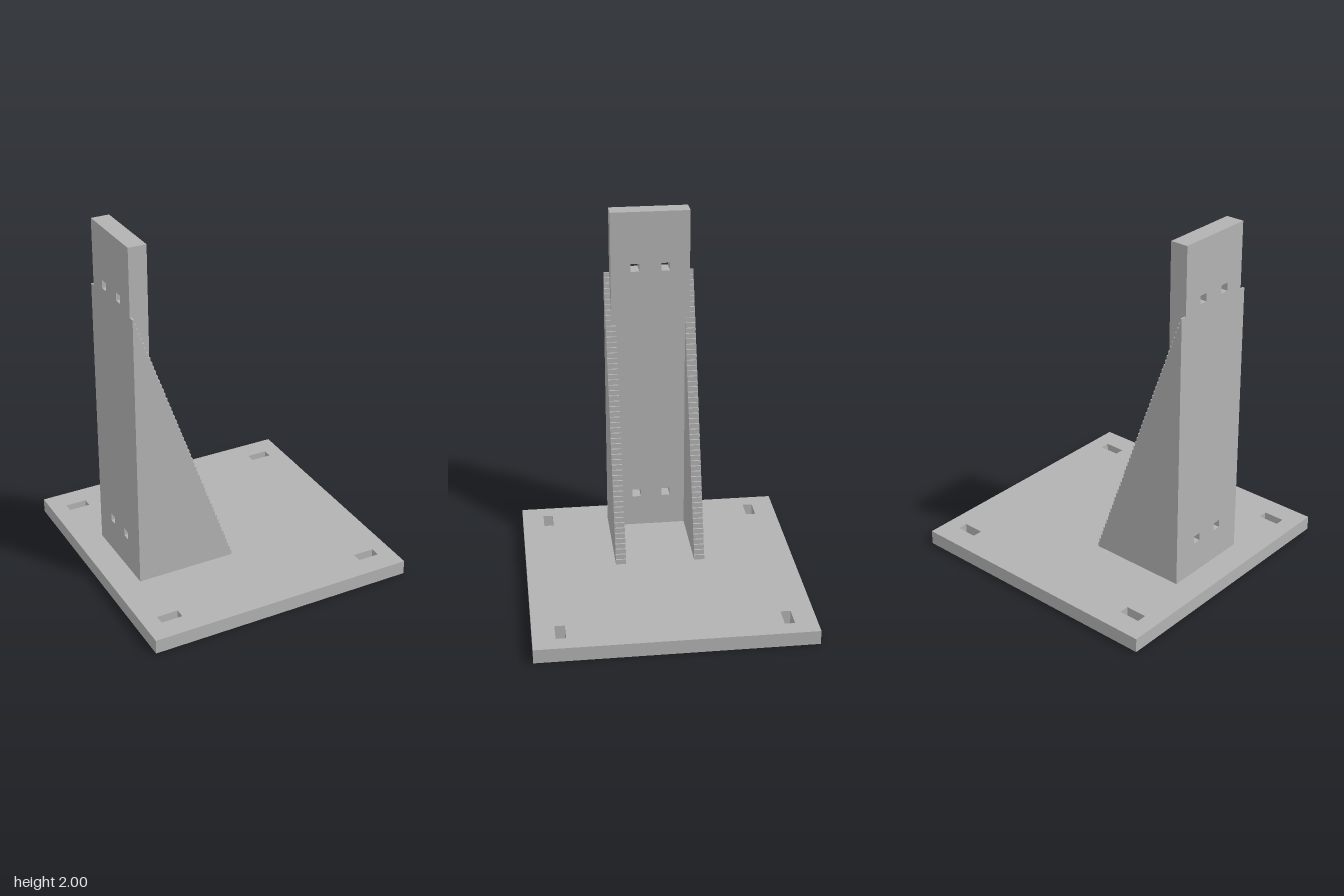
import * as THREE from 'three';

const BASE_HALF = 0.755, BASE_TOP = 0.08;
const POST_BACK = -0.605, POST_FRONT = -0.505;

// Trace a rectangle given by its centre and size onto a shape or path
function rect(path, cx, cy, w, h) {
  const x = w / 2, y = h / 2;
  path.moveTo(cx - x, cy - y);
  path.lineTo(cx + x, cy - y);
  path.lineTo(cx + x, cy + y);
  path.lineTo(cx - x, cy + y);
  path.closePath();
  return path;
}

// Rectangular plate with four rectangular holes
function plate(cx, cy, w, h, depth, holes) {
  const shape = rect(new THREE.Shape(), cx, cy, w, h);
  for (const [x, y, hw, hh] of holes) shape.holes.push(rect(new THREE.Path(), x, y, hw, hh));
  return new THREE.ExtrudeGeometry(shape, { depth, bevelEnabled: false });
}

export function createModel() {
  const model = new THREE.Group();
  model.name = 'bracketStand';
  const grey = new THREE.MeshStandardMaterial({ color: 0xb2b2b2 });
  grey.name = 'grey';

  const add = (name, geometry) => {
    const mesh = new THREE.Mesh(geometry, grey);
    mesh.name = name;
    model.add(mesh);
    return mesh;
  };

  // Square base with a mounting slot in each corner
  const slots = [], screwHoles = [];
  for (const a of [-1, 1]) {
    for (const b of [-1, 1]) slots.push([a * 0.603, b * 0.605, 0.12, 0.055]);
    for (const y of [0.287, 1.682]) screwHoles.push([a * 0.085, y, 0.048, 0.045]);
  }
  const base = plate(0, 0, BASE_HALF * 2, BASE_HALF * 2, BASE_TOP, slots);
  base.rotateX(Math.PI / 2).translate(0, BASE_TOP, 0);
  add('base', base);

  // Upright post with two pairs of screw holes
  const post = plate(0, (2 + BASE_TOP) / 2, 0.44, 2 - BASE_TOP, POST_FRONT - POST_BACK, screwHoles);
  post.rotateY(-Math.PI / 2).translate(POST_FRONT, 0, 0);
  add('post', post);

  // Side gussets with a finely stepped slope
  const steps = 55, toe = -0.05, top = 1.63;
  const dx = (toe - POST_BACK) / steps, dy = (top - BASE_TOP) / steps;
  const profile = new THREE.Shape();
  profile.moveTo(POST_BACK, BASE_TOP);
  profile.lineTo(toe, BASE_TOP);
  for (let i = 0; i < steps; i++) {
    profile.lineTo(toe - i * dx, BASE_TOP + (i + 1) * dy);
    profile.lineTo(toe - (i + 1) * dx, BASE_TOP + (i + 1) * dy);
  }
  profile.closePath();
  const gusset = new THREE.ExtrudeGeometry(profile, { depth: 0.058, bevelEnabled: false });
  add('leftGusset', gusset).position.z = 0.194;
  add('rightGusset', gusset).position.z = -0.252;

  return model;
}
